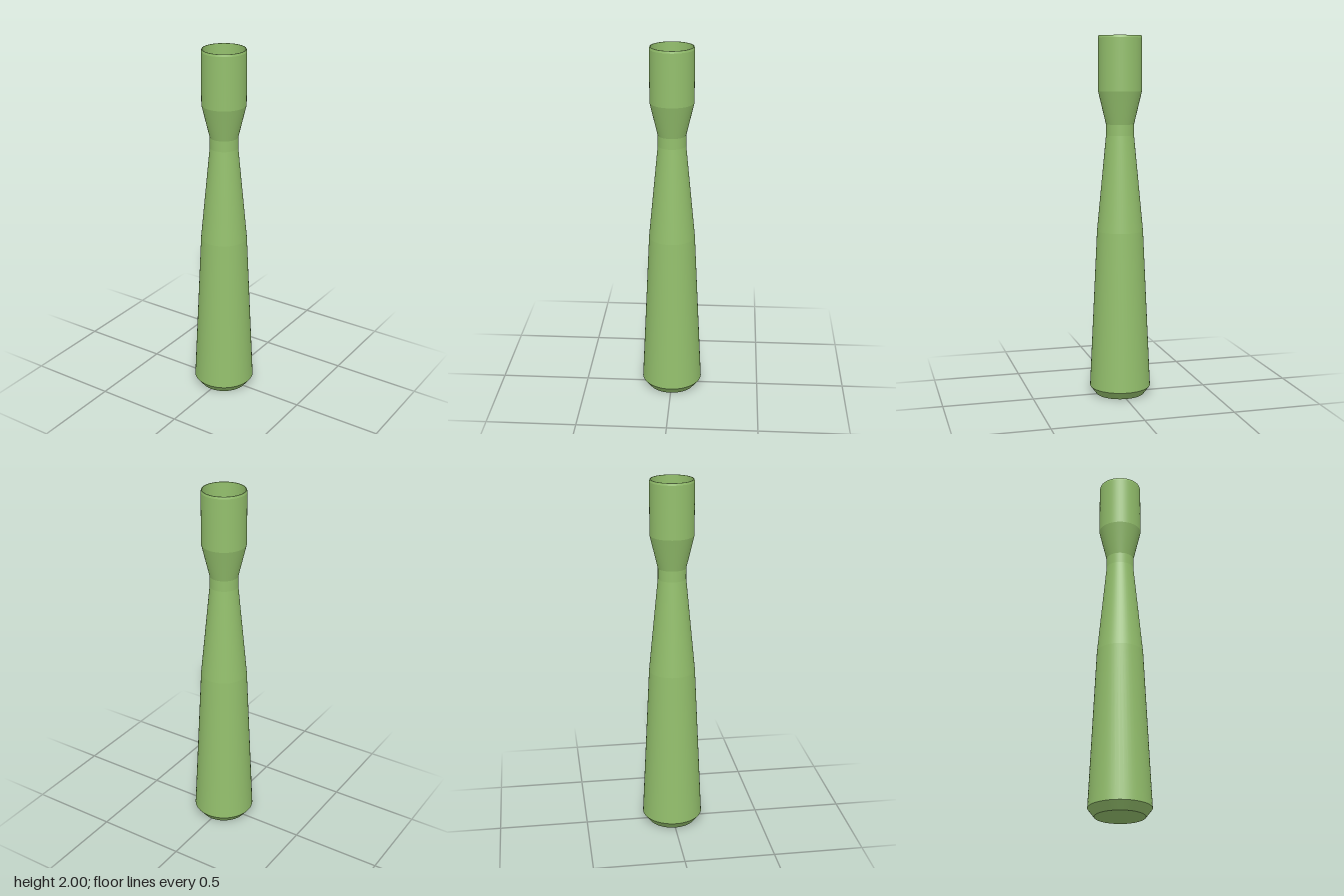
import * as THREE from 'three';

const SIDES = 48;

export function createModel() {
  const group = new THREE.Group();
  const green = new THREE.MeshStandardMaterial({ color: 0x93bf6c });
  green.name = 'sage green';

  // Every band is its own lathe, so the edges between bands stay crisp.
  function addPart(name, profile) {
    const part = new THREE.Group();
    part.name = name;
    for (let i = 0; i < profile.length - 1; i++) {
      const points = [profile[i], profile[i + 1]].map(([r, y]) => new THREE.Vector2(r, y));
      const band = new THREE.Mesh(new THREE.LatheGeometry(points, SIDES), green);
      band.name = `${name}Band${i + 1}`;
      part.add(band);
    }
    group.add(part);
  }

  // Flat underside and chamfered foot
  addPart('foot', [[0, 0], [0.135, 0], [0.17, 0.045]]);
  // Long tapering stem
  addPart('stem', [[0.17, 0.045], [0.128, 0.93], [0.077, 1.46]]);
  // Narrow neck
  addPart('neck', [[0.077, 1.46], [0.077, 1.52]]);
  // Flared cup with a small chamfer at the lip
  addPart('cup', [[0.077, 1.52], [0.12, 1.7], [0.12, 1.988], [0.117, 2]]);
  // Thin rim
  addPart('rim', [[0.117, 2], [0.113, 2]]);
  // Hollow inside of the cup, down to its flat floor
  addPart('cupInside', [[0.113, 2], [0.113, 1.71], [0.071, 1.54], [0.057, 1.54]]);
  // Tapered peg on the cup floor
  addPart('peg', [[0.057, 1.54], [0.028, 1.64], [0, 1.64]]);

  return group;
}
